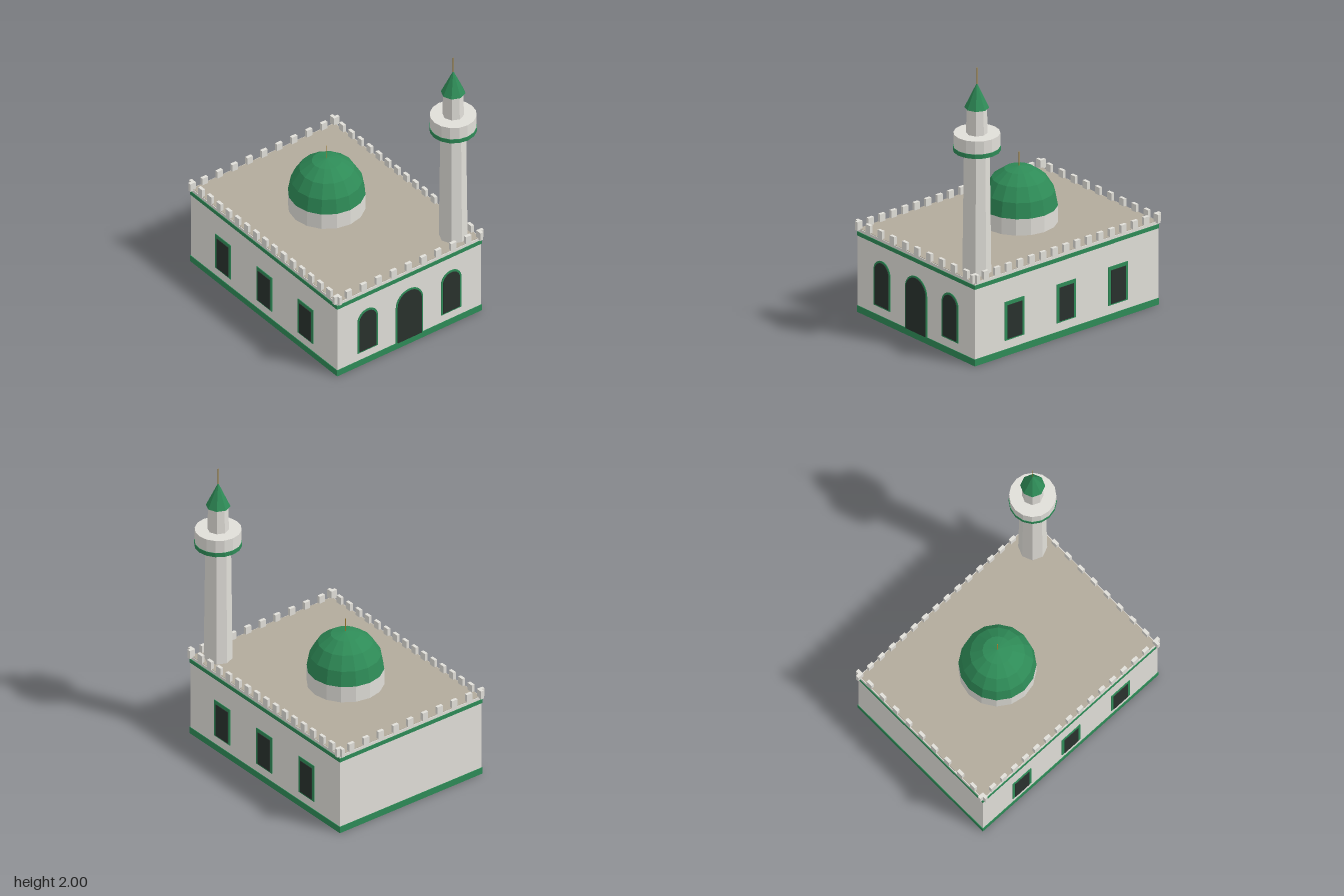
import * as THREE from 'three';

const paint = (color) => new THREE.MeshStandardMaterial({ color, flatShading: true });

export function createModel() {
  const wall = paint(0xe0ded8), green = paint(0x2e8b57), roofTan = paint(0xb2aa9c);
  const dark = paint(0x29312d), gold = paint(0xa88432);
  const model = new THREE.Group();
  const CX = -0.003, CZ = -0.005, HX = 0.578, HZ = 0.77, TOP = 0.58;

  const add = (parent, name, geometry, material, x = 0, y = 0, z = 0) => {
    const mesh = new THREE.Mesh(geometry, material);
    mesh.name = name;
    mesh.position.set(x, y, z);
    parent.add(mesh);
    return mesh;
  };
  const group = (name, x, y, z) => {
    const g = new THREE.Group();
    g.name = name;
    g.position.set(x, y, z);
    model.add(g);
    return g;
  };
  // Upright box or cylinder given by its bottom and top heights
  const box = (parent, name, w, y0, y1, d, material, x, z) =>
    add(parent, name, new THREE.BoxGeometry(w, y1 - y0, d), material, x, (y0 + y1) / 2, z);
  const column = (parent, name, rTop, rBottom, y0, y1, sides, material) =>
    add(parent, name, new THREE.CylinderGeometry(rTop, rBottom, y1 - y0, sides), material, 0, (y0 + y1) / 2, 0);

  // Hall, bands and roof
  box(model, 'hallWalls', HX * 2, 0.002, TOP, HZ * 2, wall, CX, CZ);
  box(model, 'baseBand', HX * 2 + 0.008, 0, 0.046, HZ * 2 + 0.008, green, CX, CZ);
  box(model, 'upperBand', HX * 2 + 0.008, 0.532, 0.56, HZ * 2 + 0.008, green, CX, CZ);
  box(model, 'roof', HX * 2 - 0.01, TOP - 0.01, TOP + 0.003, HZ * 2 - 0.01, roofTan, CX, CZ);

  // Merlons along all four edges, doubled at the corners
  const merlons = group('merlons', CX, 0, CZ);
  const inset = 0.011, spacing = 0.12;
  for (const side of [-1, 1]) {
    for (let i = -5; i <= 5; i++) {
      const x = Math.abs(i) === 5 ? Math.sign(i) * HX : i * spacing;
      box(merlons, 'merlon', 0.044, 0.575, 0.635, 0.022, wall, x, side * (HZ - inset));
    }
    for (let i = 0; i <= 16; i++) {
      const z = -HZ + (i / 16) * HZ * 2;
      box(merlons, 'merlon', 0.022, 0.575, 0.635, 0.044, wall, side * (HX - inset), z);
    }
  }

  // Round-arched panel standing on y0
  const archPanel = (halfWidth, y0, y1, depth) => {
    const s = new THREE.Shape();
    s.moveTo(-halfWidth, y0);
    s.lineTo(halfWidth, y0);
    s.lineTo(halfWidth, y1 - halfWidth);
    s.absarc(0, y1 - halfWidth, halfWidth, 0, Math.PI, false);
    s.closePath();
    return new THREE.ExtrudeGeometry(s, { depth, bevelEnabled: false, curveSegments: 8 });
  };

  // Front door and arched windows
  const front = CZ + HZ;
  for (const [name, x, half, y0, y1, border, sill] of [
    ['door', CX, 0.108, 0.046, 0.436, 0.012, 0],
    ['frontWindow', CX - 0.336, 0.081, 0.105, 0.43, 0.014, 0.01],
    ['frontWindow', CX + 0.336, 0.081, 0.105, 0.43, 0.014, 0.01],
  ]) {
    const g = group(name, x, 0, front - 0.01);
    add(g, name + 'Frame', archPanel(half, y0, y1, 0.015), green);
    add(g, name + 'Pane', archPanel(half - border, y0 + sill, y1 - border, 0.019), dark);
  }

  // Rectangular windows on both long sides
  for (const side of [-1, 1]) {
    for (const z of [-0.434, 0, 0.434]) {
      const g = group('sideWindow', CX + side * HX, 0, z);
      box(g, 'sideWindowFrame', 0.01, 0.107, 0.375, 0.162, green, 0, 0);
      box(g, 'sideWindowPane', 0.018, 0.117, 0.35, 0.122, dark, 0, 0);
    }
  }

  // Drum, dome and its finial
  const dome = group('domeGroup', -0.005, 0, -0.1);
  column(dome, 'domeDrum', 0.25, 0.25, 0.57, 0.697, 16, wall);
  const cap = new THREE.SphereGeometry(0.25, 16, 4, 0, Math.PI * 2, 0, Math.PI / 2);
  cap.scale(1, 1.08, 1);
  add(dome, 'dome', cap, green, 0, 0.697, 0);
  column(dome, 'domeFinial', 0.003, 0.003, 0.95, 1.06, 6, gold);

  // Minaret
  const minaret = group('minaret', 0.447, 0, 0.64);
  column(minaret, 'minaretShaft', 0.083, 0.094, 0.5, 1.44, 8, wall);
  column(minaret, 'balconyBand', 0.154, 0.154, 1.43, 1.46, 16, green);
  column(minaret, 'balcony', 0.151, 0.151, 1.455, 1.55, 16, wall);
  column(minaret, 'upperShaft', 0.065, 0.07, 1.54, 1.73, 8, wall);
  column(minaret, 'minaretSpire', 0, 0.08, 1.725, 1.895, 8, green);
  column(minaret, 'minaretFinial', 0.003, 0.003, 1.88, 2.0, 6, gold);

  return model;
}
